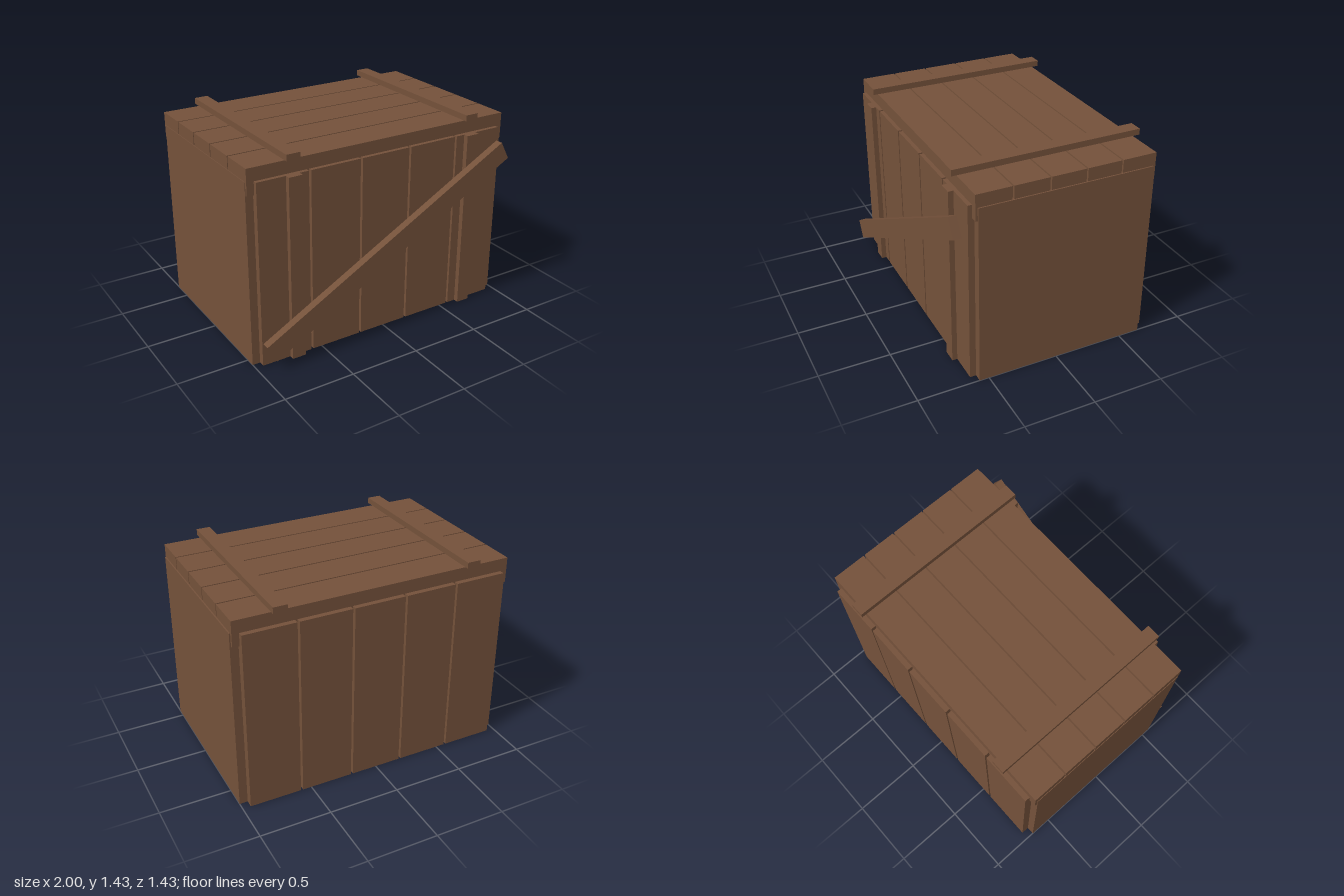
import * as THREE from 'three';

export function createModel() {
  const wood = new THREE.MeshStandardMaterial({ color: 0x74513a });
  wood.name = 'brown wood';
  const crate = new THREE.Group();
  crate.name = 'crate';

  // Box given by its limits on each axis
  function board(name, [x0, x1], [y0, y1], [z0, z1]) {
    const mesh = new THREE.Mesh(new THREE.BoxGeometry(x1 - x0, y1 - y0, z1 - z0), wood);
    mesh.position.set((x0 + x1) / 2, (y0 + y1) / 2, (z0 + z1) / 2);
    mesh.name = name;
    crate.add(mesh);
    return mesh;
  }

  const wallY = [0, 1.29];

  // Five upright planks on the front and the back
  for (let i = 0; i < 5; i++) {
    const x = -0.946 + i * 0.381;
    board('frontPlank', [x, x + 0.365], wallY, [0.52, 0.61]);
    board('backPlank', [x, x + 0.365], wallY, [-0.71, -0.615]);
  }

  // Solid side panels with square posts inside the corners
  for (const s of [-1, 1]) {
    const side = s > 0 ? 'left' : 'right';
    const span = (a, b) => (s > 0 ? [a, b] : [-b, -a]);
    board(side + 'Panel', span(0.905, 1), wallY, [-0.655, 0.567]);
    board(side + 'FrontPost', span(0.81, 0.93), [0, 1.2], [0.385, 0.56]);
    board(side + 'BackPost', span(0.81, 0.93), [0, 1.2], [-0.48, -0.65].reverse());
  }

  // Thick lid planks
  for (let i = 0; i < 5; i++) {
    const z = -0.674 + i * 0.2533;
    board('lidPlank', [-0.996, 0.991], [1.2, 1.38], [z, z + 0.243]);
  }

  // Battens across the lid and down the front
  for (const x of [-0.743, 0.642]) {
    board('lidBatten', [x, x + 0.097], [1.388, 1.43], [-0.715, 0.622]);
    board('frontBatten', [x, x + 0.097], wallY, [0.6, 0.646]);
  }

  // Diagonal brace on the front
  const brace = board('diagonalBrace', [-1.058, 1.058], [0.574, 0.716], [0.659, 0.715]);
  brace.rotation.z = THREE.MathUtils.degToRad(28.7);

  return crate;
}
